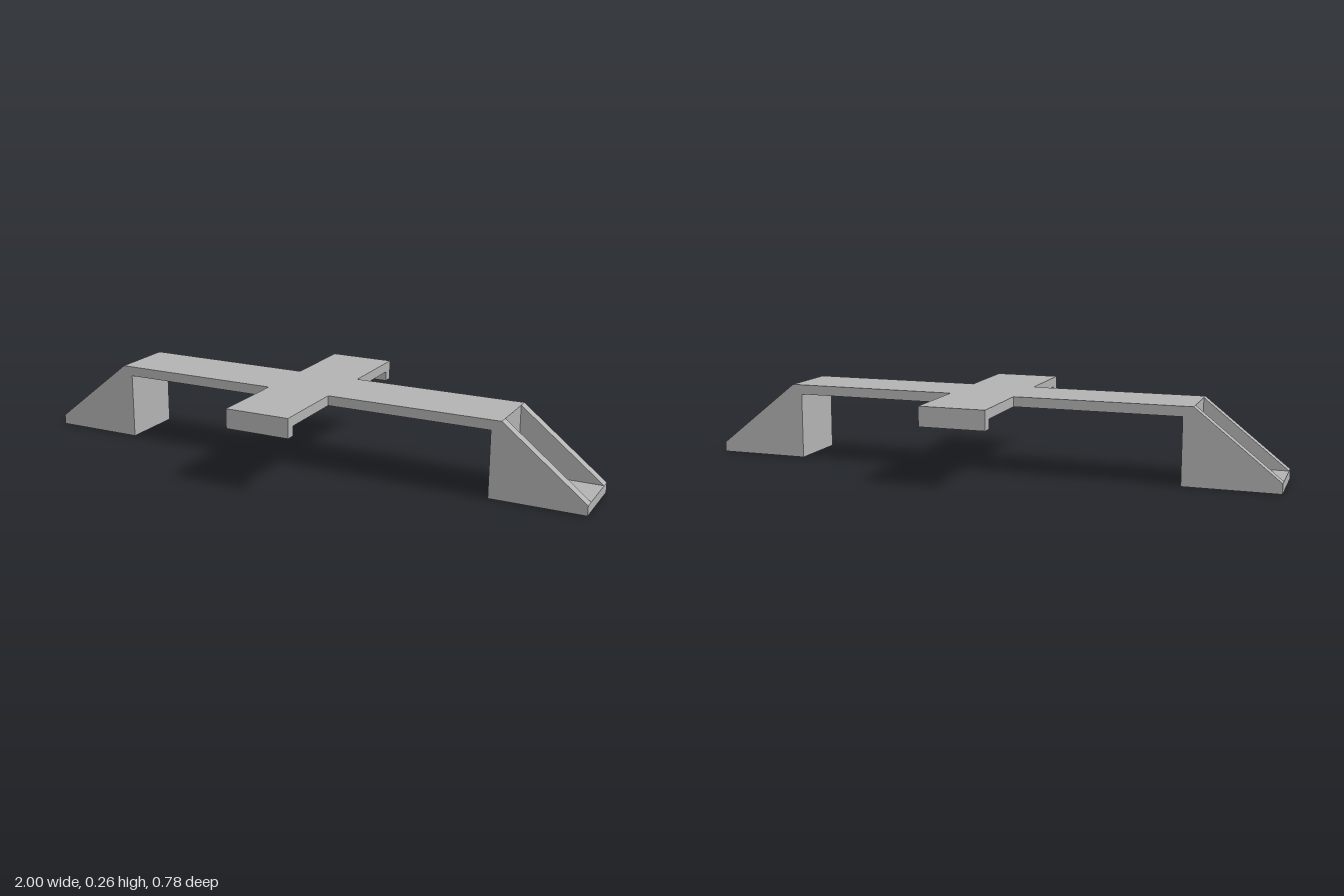
import * as THREE from 'three';

const grey = new THREE.MeshStandardMaterial({ color: 0xb2b2b2 });
grey.name = 'grey';

const TOP = 0.262, THICK = 0.034, HALF = 0.113; // deck height, wall thickness, half strip width
const INNER = 0.68, END = 1, ARM = 0.392, LIP_BOTTOM = 0.195;

function add(parent, name, geometry) {
  const mesh = new THREE.Mesh(geometry, grey);
  mesh.name = name;
  parent.add(mesh);
  return mesh;
}

// Box given by its minimum and maximum corners
function box(x0, x1, y0, y1, z0, z1) {
  return new THREE.BoxGeometry(x1 - x0, y1 - y0, z1 - z0)
    .translate((x0 + x1) / 2, (y0 + y1) / 2, (z0 + z1) / 2);
}

function extrude(points, depth, hole) {
  const shape = new THREE.Shape(points.map(([x, y]) => new THREE.Vector2(x, y)));
  if (hole) shape.holes.push(hole);
  return new THREE.ExtrudeGeometry(shape, { depth, bevelEnabled: false, curveSegments: 24 });
}

// Open-ended foot on the +x side
function createFoot() {
  const foot = new THREE.Group();

  // Base plate with screw hole
  const hole = new THREE.Path().absarc(0.885, 0, 0.03, 0, Math.PI * 2, true);
  const base = extrude([[INNER, -HALF], [END, -HALF], [END, HALF], [INNER, HALF]], THICK, hole);
  add(foot, 'basePlate', base.rotateX(-Math.PI / 2));

  // Upright wall carrying the deck
  add(foot, 'uprightWall', box(INNER, INNER + THICK, THICK, TOP, -HALF, HALF));

  // Sloping side gussets
  for (const z of [-HALF, HALF - THICK]) {
    const gusset = extrude([[INNER + THICK, THICK], [END, THICK], [INNER + THICK, TOP]], THICK);
    add(foot, 'gusset', gusset.translate(0, 0, z));
  }
  return foot;
}

export function createModel() {
  const model = new THREE.Group();
  model.name = 'mountingBracket';

  // Cross-shaped deck
  const deck = extrude([
    [-INNER, -HALF], [-HALF, -HALF], [-HALF, -ARM], [HALF, -ARM], [HALF, -HALF], [INNER, -HALF],
    [INNER, HALF], [HALF, HALF], [HALF, ARM], [-HALF, ARM], [-HALF, HALF], [-INNER, HALF],
  ], THICK);
  add(model, 'crossDeck', deck.rotateX(-Math.PI / 2).translate(0, TOP - THICK, 0));

  // Lips hanging from the ends of the short arms
  for (const side of [-1, 1]) {
    const z = side * (ARM - THICK / 2);
    add(model, side > 0 ? 'frontLip' : 'backLip',
      box(-HALF, HALF, LIP_BOTTOM, TOP - THICK, z - THICK / 2, z + THICK / 2));
  }

  // Feet at both ends of the long strip
  const left = createFoot();
  left.name = 'leftFoot';
  const right = createFoot();
  right.name = 'rightFoot';
  right.rotation.y = Math.PI;
  model.add(left, right);

  return model;
}
